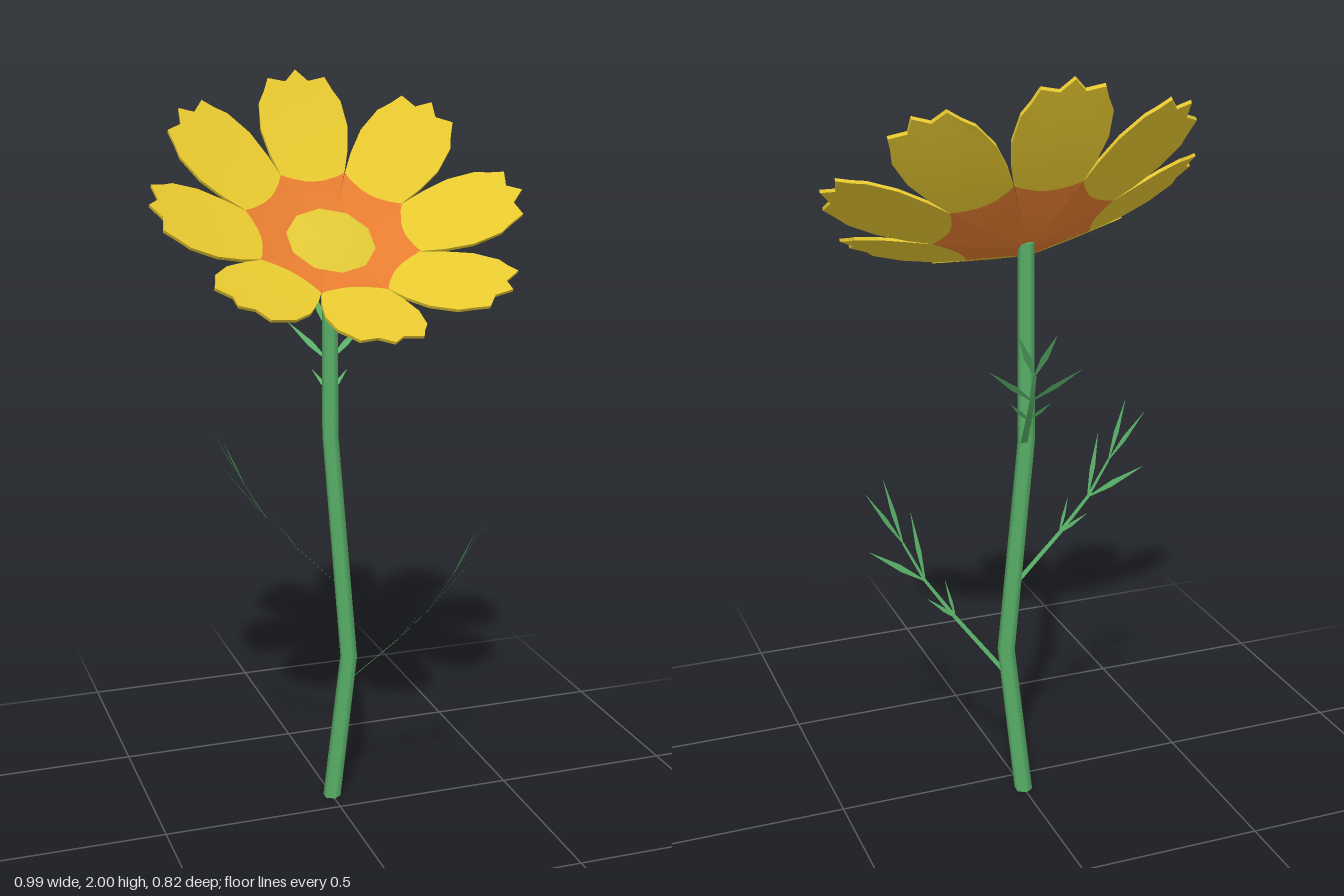
import * as THREE from 'three';

const mat = (name, color) => {
  const m = new THREE.MeshStandardMaterial({ color, side: THREE.DoubleSide });
  m.name = name;
  return m;
};

function surface(positions, index) {
  const g = new THREE.BufferGeometry();
  g.setAttribute('position', new THREE.Float32BufferAttribute(positions, 3));
  g.setIndex(index);
  g.computeVertexNormals();
  return g;
}

// Petal: thin shell with rows from base to serrated tip, slightly arched across;
// eight of them form a shallow bowl. Group 0 is the orange base, group 1 the yellow rest.
function petalGeometry() {
  const rows = [[0.02, 0.0083], [0.11, 0.0455], [0.215, 0.0885], [0.27, 0.107], [0.34, 0.121], [0.41, 0.114]];
  const cols = [-1, -0.84, -0.7, -0.28, 0, 0.28, 0.7, 0.84, 1];
  const tips = [0.41, 0.44, 0.474, 0.465, 0.495, 0.465, 0.474, 0.44, 0.41];
  const n = cols.length, last = rows.length - 1, thickness = 0.009;
  const p = [], orange = [], yellow = [];

  const point = (j, i, under) => {
    const [r, w] = rows[j], t = cols[i];
    const grow = Math.max(0, (r - 0.215) / 0.195);
    const z = r + (tips[i] - 0.41) * grow - (j === 2 ? 0.022 * (1 - t * t) : 0);
    const x = t * w, d = Math.hypot(x, z);
    const arch = Math.min(1, j / 2) * (0.006 * (1 - t * t) - 0.002);
    return [x, 0.24 * d + 0.26 * d * d + arch - (under ? thickness : 0), z];
  };

  // Upper and lower faces
  for (const under of [false, true]) {
    const start = p.length / 3;
    for (let j = 0; j <= last; j++)
      for (let i = 0; i < n; i++) p.push(...point(j, i, under));
    for (let j = 0; j < last; j++)
      for (let i = 0; i < n - 1; i++) {
        const a = start + j * n + i, b = a + n;
        const quad = [a, b, a + 1, a + 1, b, b + 1];
        (j < 2 ? orange : yellow).push(...(under ? quad.reverse() : quad));
      }
  }

  // Rim around the free part of the petal
  const outline = [];
  for (let j = 2; j < last; j++) outline.push([j, 0]);
  for (let i = 0; i < n; i++) outline.push([last, i]);
  for (let j = last - 1; j >= 2; j--) outline.push([j, n - 1]);
  for (let k = 0; k < outline.length - 1; k++) {
    const a = p.length / 3;
    for (const o of [outline[k], outline[k + 1]])
      p.push(...point(...o, false), ...point(...o, true));
    yellow.push(a, a + 1, a + 2, a + 1, a + 3, a + 2);
  }

  const g = surface(p, [...orange, ...yellow]);
  g.addGroup(0, orange.length, 0);
  g.addGroup(orange.length, yellow.length, 1);
  return g;
}

// Flat pointed blade from a to b, lying in the plane of the leaf
function blade(a, b, width) {
  const A = new THREE.Vector3(...a), B = new THREE.Vector3(...b);
  const leafNormal = new THREE.Vector3(-0.82, 0.57, 0);
  const side = B.clone().sub(A).cross(leafNormal).normalize();
  const p = [];
  [[0, 0.005], [0.45, width], [1, 0.001]].forEach(([t, w]) => {
    const c = A.clone().lerp(B, t);
    for (const s of [-1, 1]) p.push(...c.clone().addScaledVector(side, s * w / 2).toArray());
  });
  return surface(p, [0, 1, 2, 1, 3, 2, 2, 3, 4, 3, 5, 4]);
}

// Flat stalk through several nodes
function stalkGeometry(nodes) {
  const p = [], idx = [];
  nodes.forEach(([u, y], i) => {
    const w = 0.011 - i * 0.0018;
    p.push(u, y, -w, u, y, w);
    if (i) { const a = i * 2 - 2; idx.push(a, a + 1, a + 2, a + 1, a + 3, a + 2); }
  });
  return surface(p, idx);
}

function featheryLeaf(material) {
  const leaf = new THREE.Group();
  const nodes = [[0, 0], [0.13, 0.13], [0.21, 0.22], [0.268, 0.315]];
  const tips = [null, [0.18, 0.2, 0.06], [0.3, 0.34, 0.135], [0.34, 0.455, 0.055]];
  const add = (name, g) => {
    const m = new THREE.Mesh(g, material);
    m.name = name;
    leaf.add(m);
  };
  add('leafStalk', stalkGeometry(nodes));
  for (let i = 1; i < 4; i++)
    for (const s of [-1, 1]) {
      const [u, y, z] = tips[i];
      add('leaflet', blade([...nodes[i], 0], [u, y, s * z], i === 1 ? 0.015 : 0.022));
    }
  return leaf;
}

export function createModel() {
  const model = new THREE.Group();
  model.name = 'flower';
  const yellow = mat('petal yellow', 0xe6c82f);
  const orange = mat('petal orange', 0xe67d30);
  const centre = mat('centre yellow', 0xdec535);
  const green = mat('stem green', 0x59b068);

  // Kinked six-sided stem: each ring of the cylinder is moved to its node
  const nodes = [[0, 0, -0.075], [0.042, 0.43, -0.052], [0.012, 1.05, -0.12], [0, 1.56, -0.085]];
  const stemGeo = new THREE.CylinderGeometry(0.021, 0.025, 3, 6, 3);
  const pos = stemGeo.attributes.position;
  for (let i = 0; i < pos.count; i++) {
    const [x, y, z] = nodes[Math.round(pos.getY(i) + 1.5)];
    pos.setXYZ(i, pos.getX(i) + x, y, pos.getZ(i) + z);
  }
  const stem = new THREE.Mesh(stemGeo, green);
  stem.name = 'stem';
  model.add(stem);

  // Leaves: base position, outward direction (x, z), scale
  [
    ['lowerLeaf', [0.045, 0.36, -0.05], [0.77, 0.63], 1.09],
    ['middleLeaf', [0.03, 0.625, -0.075], [-1, 0.02], 1.02],
    ['upperLeaf', [0.02, 1.035, -0.12], [0.25, -0.97], 0.82],
  ].forEach(([name, base, [dx, dz], scale]) => {
    const leaf = featheryLeaf(green);
    leaf.name = name;
    leaf.position.set(...base);
    leaf.rotation.y = Math.atan2(-dz, dx);
    leaf.scale.setScalar(scale);
    model.add(leaf);
  });

  // Flower head, tilted towards the front
  const head = new THREE.Group();
  head.name = 'flowerHead';
  head.position.set(0, 1.557, -0.095);
  head.rotation.x = THREE.MathUtils.degToRad(36.5);
  const petalGeo = petalGeometry();
  for (let i = 0; i < 8; i++) {
    const petal = new THREE.Mesh(petalGeo, [orange, yellow]);
    petal.name = 'petal';
    petal.rotation.y = i * Math.PI / 4;
    head.add(petal);
  }

  // Low domed centre
  const profile = [[0.118, 0.034], [0.07, 0.043], [0, 0.047]].map(([x, y]) => new THREE.Vector2(x, y));
  const disc = new THREE.Mesh(new THREE.LatheGeometry(profile, 10), centre);
  disc.name = 'flowerCentre';
  head.add(disc);
  model.add(head);

  return model;
}
